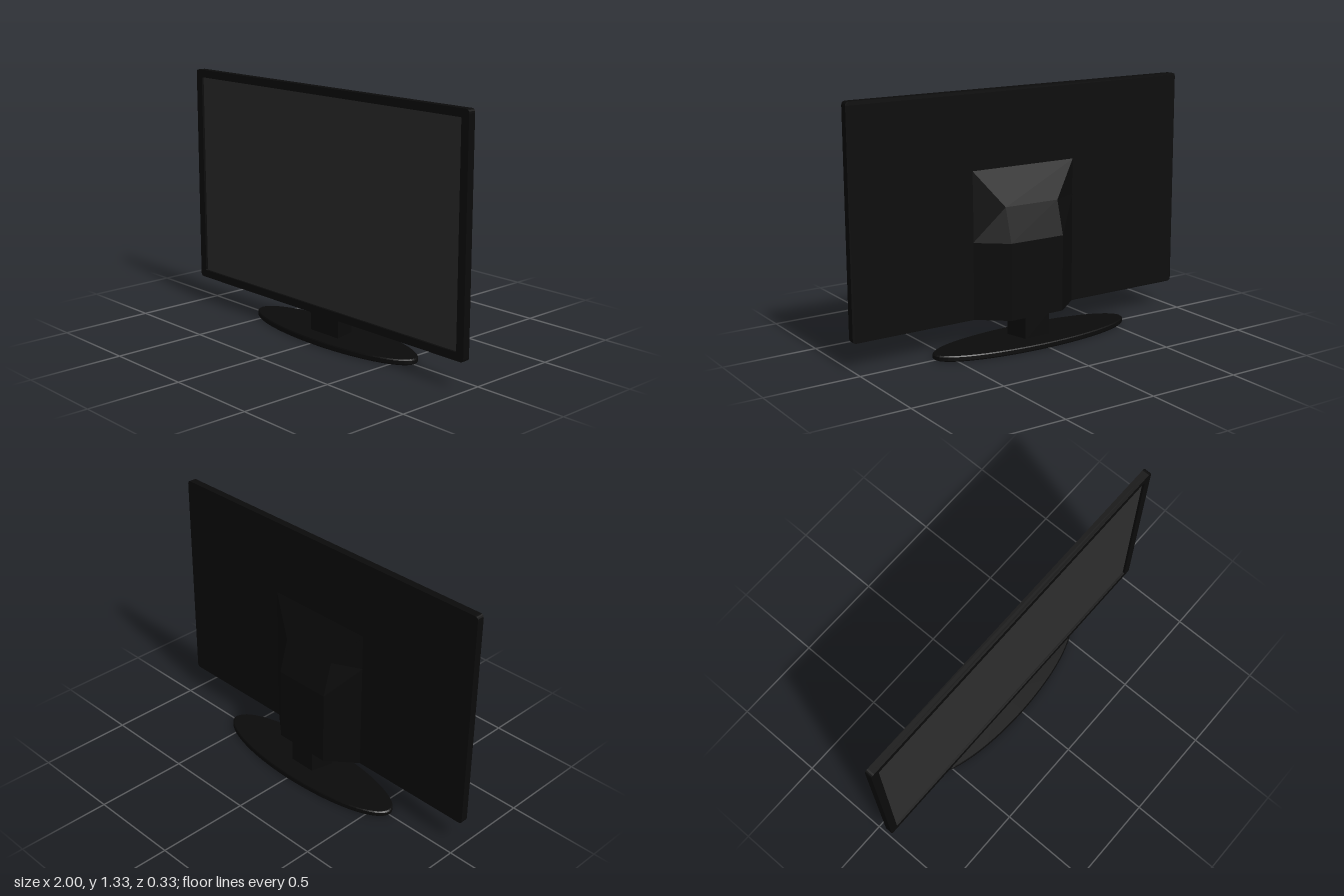
import * as THREE from 'three';

const black = new THREE.MeshStandardMaterial({ color: 0x0b0b0b });
const glass = new THREE.MeshStandardMaterial({ color: 0x2e2e2e });

function add(group, name, geometry, material = black) {
  const mesh = new THREE.Mesh(geometry, material);
  mesh.name = name;
  group.add(mesh);
  return mesh;
}

// Rectangle with small rounded corners
function roundedRect(shape, x, y0, y1, r) {
  shape.moveTo(-x + r, y0);
  shape.lineTo(x - r, y0);
  shape.quadraticCurveTo(x, y0, x, y0 + r);
  shape.lineTo(x, y1 - r);
  shape.quadraticCurveTo(x, y1, x - r, y1);
  shape.lineTo(-x + r, y1);
  shape.quadraticCurveTo(-x, y1, -x, y1 - r);
  shape.lineTo(-x, y0 + r);
  shape.quadraticCurveTo(-x, y0, -x + r, y0);
  return shape;
}

function slab(shape, z, depth) {
  return new THREE.ExtrudeGeometry(shape, { depth, bevelEnabled: false, curveSegments: 4 }).translate(0, 0, z);
}

// Stack of trapezoid sections, each [y, frontHalfWidth, frontZ, backHalfWidth, backZ]
function loft(sections) {
  const pos = [], index = [];
  for (const [y, fw, fz, bw, bz] of sections) pos.push(-fw, y, fz, fw, y, fz, bw, y, bz, -bw, y, bz);
  for (let s = 0; s < sections.length - 1; s++) {
    for (let i = 0; i < 4; i++) {
      const a = s * 4 + i, b = s * 4 + (i + 1) % 4;
      index.push(a, b, b + 4, a, b + 4, a + 4);
    }
  }
  const t = (sections.length - 1) * 4;
  index.push(0, 2, 1, 0, 3, 2, t, t + 1, t + 2, t, t + 2, t + 3);
  const g = new THREE.BufferGeometry();
  g.setAttribute('position', new THREE.Float32BufferAttribute(pos, 3));
  g.setIndex(index);
  const flat = g.toNonIndexed();
  flat.computeVertexNormals();
  return flat;
}

export function createModel() {
  const model = new THREE.Group();
  model.name = 'television';

  // Panel: back slab, raised bezel and recessed screen
  const outline = () => roundedRect(new THREE.Shape(), 1, 0.143, 1.325, 0.02);
  add(model, 'backPanel', slab(outline(), 0.068, 0.025));
  const frame = outline();
  frame.holes.push(roundedRect(new THREE.Path(), 0.955, 0.184, 1.284, 0.003));
  add(model, 'bezel', slab(frame, 0.093, 0.015));
  const screen = add(model, 'screen', new THREE.PlaneGeometry(1.91, 1.1), glass);
  screen.position.set(0, 0.734, 0.096);

  // Faceted housing tapering into the back panel
  add(model, 'rearHousing', loft([
    [0.143, 0.31, 0.069, 0.16, -0.056],
    [0.55, 0.31, 0.069, 0.16, -0.056],
    [0.73, 0.31, 0.069, 0.16, -0.005],
    [0.92, 0.31, 0.069, 0.31, 0.068],
  ]));

  // Stand neck, narrower at the back
  add(model, 'neck', loft([
    [0.02, 0.105, 0.068, 0.075, -0.055],
    [0.15, 0.105, 0.068, 0.075, -0.055],
  ]));

  // Oval foot with softened rims
  const profile = [[0, 0], [0.985, 0], [1, 0.006], [1, 0.024], [0.985, 0.03], [0, 0.03]]
    .map(([x, y]) => new THREE.Vector2(x, y));
  const foot = new THREE.LatheGeometry(profile, 64).scale(0.59, 1, 0.167).toNonIndexed();
  foot.computeVertexNormals();
  add(model, 'foot', foot);

  return model;
}
